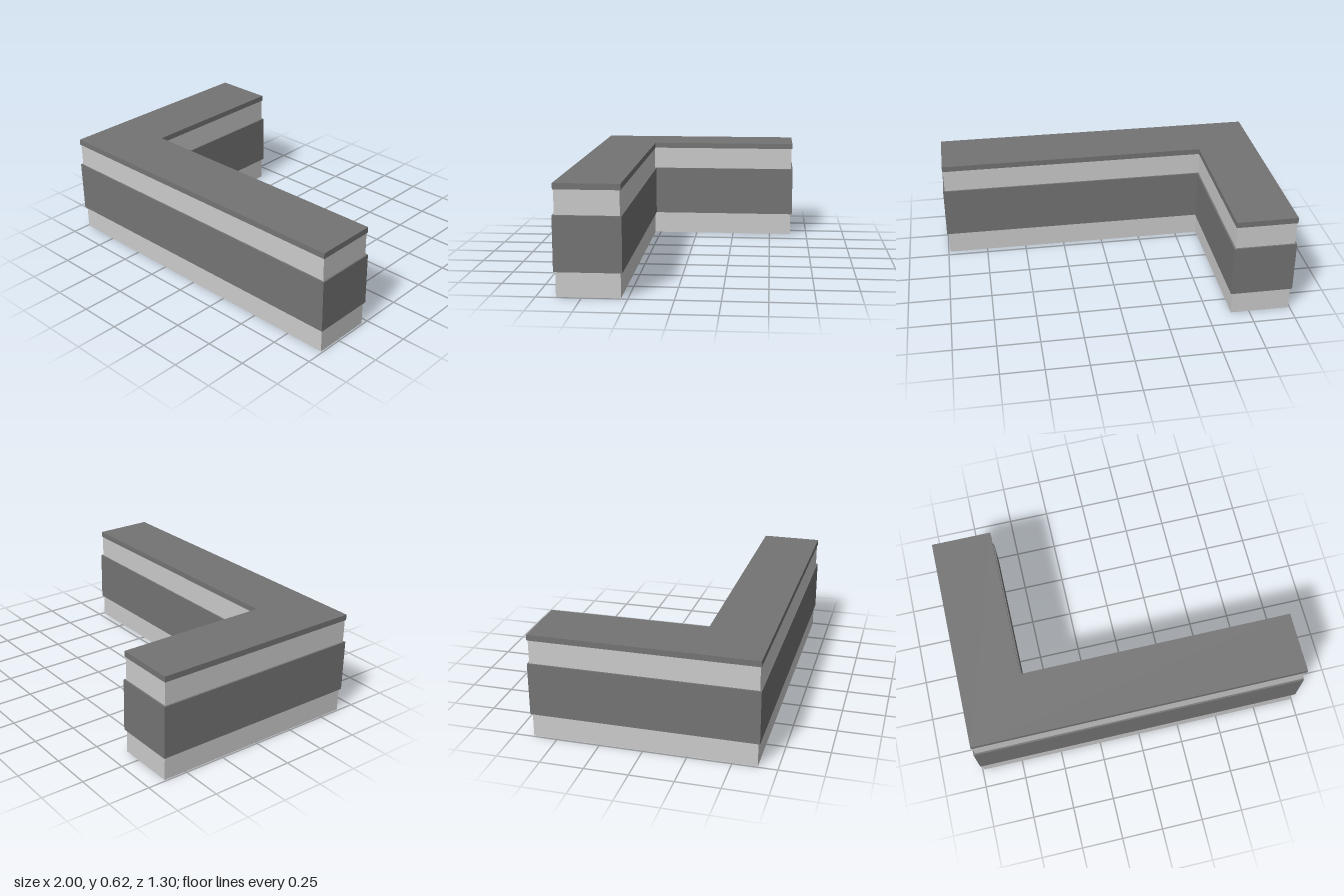
import * as THREE from 'three';

// Body footprint: an L with its long arm along the front and short arm going back on the right.
const X = 0.99, Z = 0.64, INNER_X = -0.64, INNER_Z = 0.287;

// L-shaped slab from y0 to y1, its outline pushed out by a margin
function lSlab(name, y0, y1, margin, material) {
  const outline = [
    [-X - margin, Z + margin],
    [X + margin, Z + margin],
    [X + margin, INNER_Z - margin],
    [INNER_X + margin, INNER_Z - margin],
    [INNER_X + margin, -Z - margin],
    [-X - margin, -Z - margin],
  ].map(([x, z]) => new THREE.Vector2(x, -z));
  const geometry = new THREE.ExtrudeGeometry(new THREE.Shape(outline), {
    depth: y1 - y0,
    bevelEnabled: false,
  });
  geometry.rotateX(-Math.PI / 2).translate(0, y0, 0);
  const mesh = new THREE.Mesh(geometry, material);
  mesh.name = name;
  return mesh;
}

export function createModel() {
  const light = new THREE.MeshStandardMaterial({ color: 0xcccccc });
  const dark = new THREE.MeshStandardMaterial({ color: 0x747474 });

  const counter = new THREE.Group();
  counter.name = 'cornerCounter';
  counter.add(
    lSlab('counterBody', 0, 0.588, 0, light),
    lSlab('panelBand', 0.14, 0.45, 0.01, dark),
    lSlab('countertop', 0.588, 0.622, 0.005, dark),
  );
  return counter;
}
